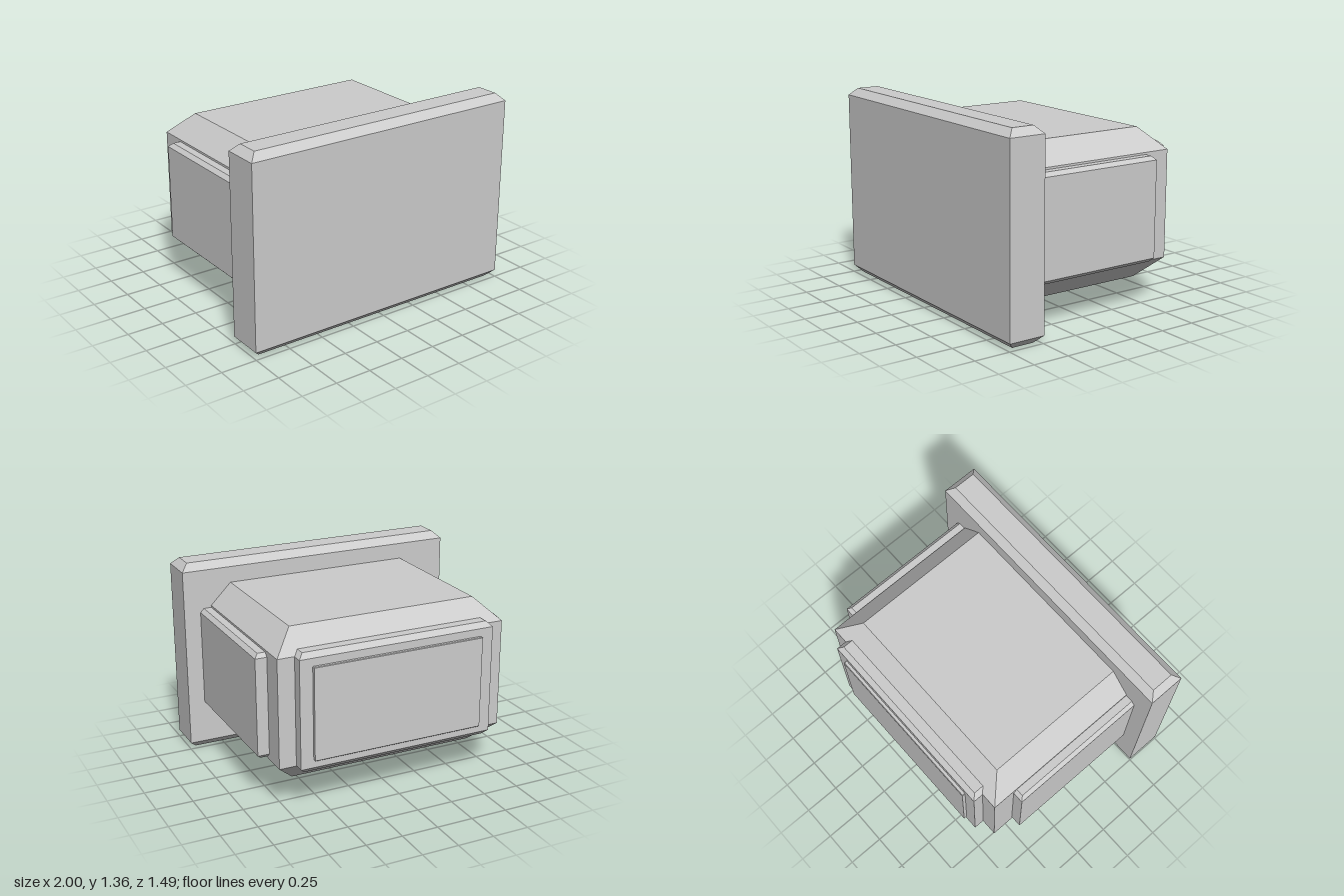
import * as THREE from 'three';

const grey = new THREE.MeshStandardMaterial({ color: 0xcccccc });
grey.name = 'light grey';

// Box whose top and bottom rims are chamfered inward; the upright edges stay sharp.
function chamferedBlock(name, [x0, x1], [y0, y1], [z0, z1], chamfer) {
  const w = x1 - x0, h = y1 - y0, d = z1 - z0;
  const box = new THREE.BoxGeometry(w, h, d, 1, 3, 1);
  const p = box.attributes.position;
  for (let i = 0; i < p.count; i++) {
    const x = p.getX(i), y = p.getY(i), z = p.getZ(i);
    if (Math.abs(y) > h * 0.4) {
      p.setX(i, x - Math.sign(x) * chamfer);
      p.setZ(i, z - Math.sign(z) * chamfer);
    } else {
      p.setY(i, Math.sign(y) * (h / 2 - chamfer));
    }
  }
  const geometry = box.toNonIndexed();
  geometry.computeVertexNormals();
  const mesh = new THREE.Mesh(geometry, grey);
  mesh.name = name;
  mesh.position.set((x0 + x1) / 2, (y0 + y1) / 2, (z0 + z1) / 2);
  return mesh;
}

export function createModel() {
  const model = new THREE.Group();
  model.name = 'chamferedHousing';

  // Wide slab across the front
  model.add(chamferedBlock('frontPlate', [-1, 1], [0, 1.356], [0.492, 0.747], 0.05));

  // Main body, its front end buried in the slab
  model.add(chamferedBlock('body', [-0.806, 0.806], [0.163, 1.195], [-0.652, 0.648], 0.146));

  // Raised panels on both sides
  for (const [name, s] of [['leftPanel', 1], ['rightPanel', -1]]) {
    const xs = s > 0 ? [0.6, 0.885] : [-0.885, -0.6];
    model.add(chamferedBlock(name, xs, [0.322, 1.035], [-0.491, 0.6], 0.026));
  }

  // Raised panel at the back with a thin cover on it
  model.add(chamferedBlock('backPanel', [-0.69, 0.69], [0.276, 1.082], [-0.724, -0.4], 0.034));
  model.add(chamferedBlock('backCover', [-0.602, 0.602], [0.362, 0.995], [-0.747, -0.7], 0.004));

  return model;
}
